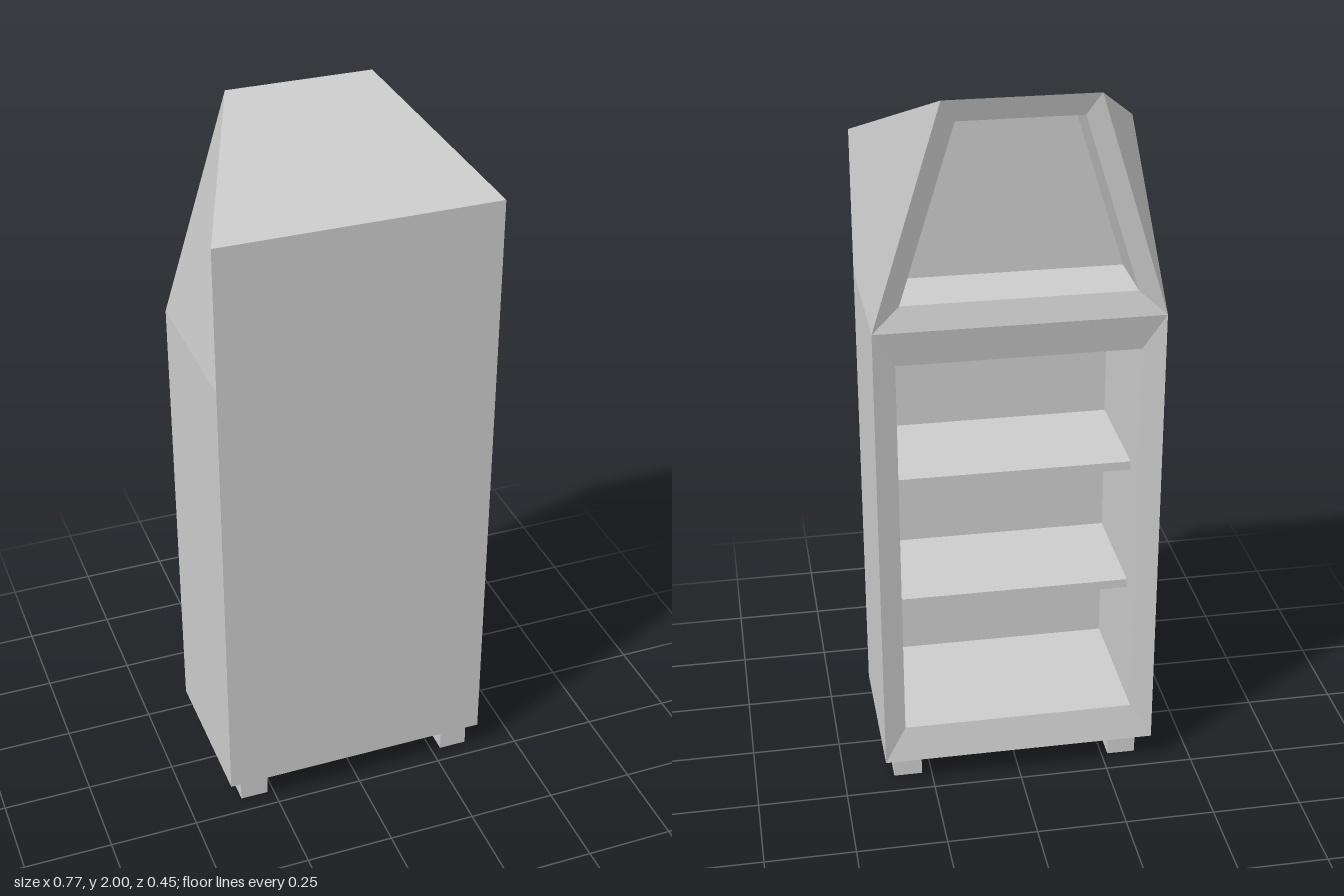
import * as THREE from 'three';

const material = new THREE.MeshStandardMaterial({ color: 0xcccccc });

// Mesh of flat-shaded quads (corners anticlockwise from outside, split along corners 1-3)
function quadMesh(name, quads) {
  const pos = [], nor = [];
  for (const q of quads) {
    const p = q.map(c => new THREE.Vector3(...c));
    const n = p[2].clone().sub(p[0]).cross(p[3].clone().sub(p[1])).normalize();
    for (const i of [0, 1, 3, 1, 2, 3]) {
      pos.push(...p[i].toArray());
      nor.push(...n.toArray());
    }
  }
  const g = new THREE.BufferGeometry();
  g.setAttribute('position', new THREE.Float32BufferAttribute(pos, 3));
  g.setAttribute('normal', new THREE.Float32BufferAttribute(nor, 3));
  const mesh = new THREE.Mesh(g, material);
  mesh.name = name;
  return mesh;
}

// Four-cornered section, symmetric in x, at depth z
const section = (bottomHalf, y0, topHalf, y1, z) =>
  [[-bottomHalf, y0, z], [bottomHalf, y0, z], [topHalf, y1, z], [-topHalf, y1, z]];

// Open compartment: bevelled rim, inner walls and end panel, through successive sections
function compartment(name, sections) {
  const quads = [];
  for (let s = 0; s + 1 < sections.length; s++) {
    const a = sections[s], b = sections[s + 1];
    for (let i = 0; i < 4; i++) {
      const j = (i + 1) % 4;
      quads.push([a[i], b[i], b[j], a[j]]);
    }
  }
  const e = sections[sections.length - 1];
  quads.push([e[0], e[3], e[2], e[1]]);
  return quadMesh(name, quads);
}

function box(name, w, h, d, x, y, z) {
  const m = new THREE.Mesh(new THREE.BoxGeometry(w, h, d), material);
  m.position.set(x, y, z);
  m.name = name;
  return m;
}

export function createModel() {
  const group = new THREE.Group();
  group.name = 'cabinet';

  const W = 0.385, T = 0.2, F = 0.225, B = -0.225;   // half widths, front and back
  const base = 0.08, shoulder = 1.4, brow = 1.8, top = 2;

  // Outer shell: sides are mirrored, the upper ones lean inwards to the back
  const sides = [
    [[W, base, F], [W, base, B], [W, shoulder, B], [W, shoulder, F]],
    [[W, shoulder, F], [W, shoulder, B], [T, top, B], [W, brow, F]],
  ];
  const mirrored = sides.map(q => [0, 3, 2, 1].map(i => [-q[i][0], q[i][1], q[i][2]]));
  group.add(quadMesh('outerShell', [
    ...sides, ...mirrored,
    section(W, base, W, brow, F),
    [[-W, brow, F], [W, brow, F], [T, top, B], [-T, top, B]],
    [[-W, base, B], [W, base, B], [W, base, F], [-W, base, F]],
  ]));

  // Lower shelf compartment and upper tapered niche
  group.add(compartment('shelfCompartment', [
    section(W, base, W, shoulder, B),
    section(0.325, 0.18, 0.325, 1.3, -0.205),
    section(0.325, 0.18, 0.325, 1.3, 0.21),
  ]));
  group.add(compartment('upperNiche', [
    section(W, shoulder, T, top, B),
    section(0.311, 1.465, 0.163, 1.94, -0.205),
    section(0.311, 1.465, 0.175, 1.9, -0.02),
  ]));

  // Shelves, set back from the opening
  for (const y of [0.55, 0.925])
    group.add(box('shelf', 0.65, 0.025, 0.33, 0, y - 0.0125, 0.045));

  // Feet
  for (const x of [-0.308, 0.318])
    for (const z of [-0.14, 0.16])
      group.add(box('foot', 0.08, base, 0.08, x, base / 2, z));

  return group;
}
